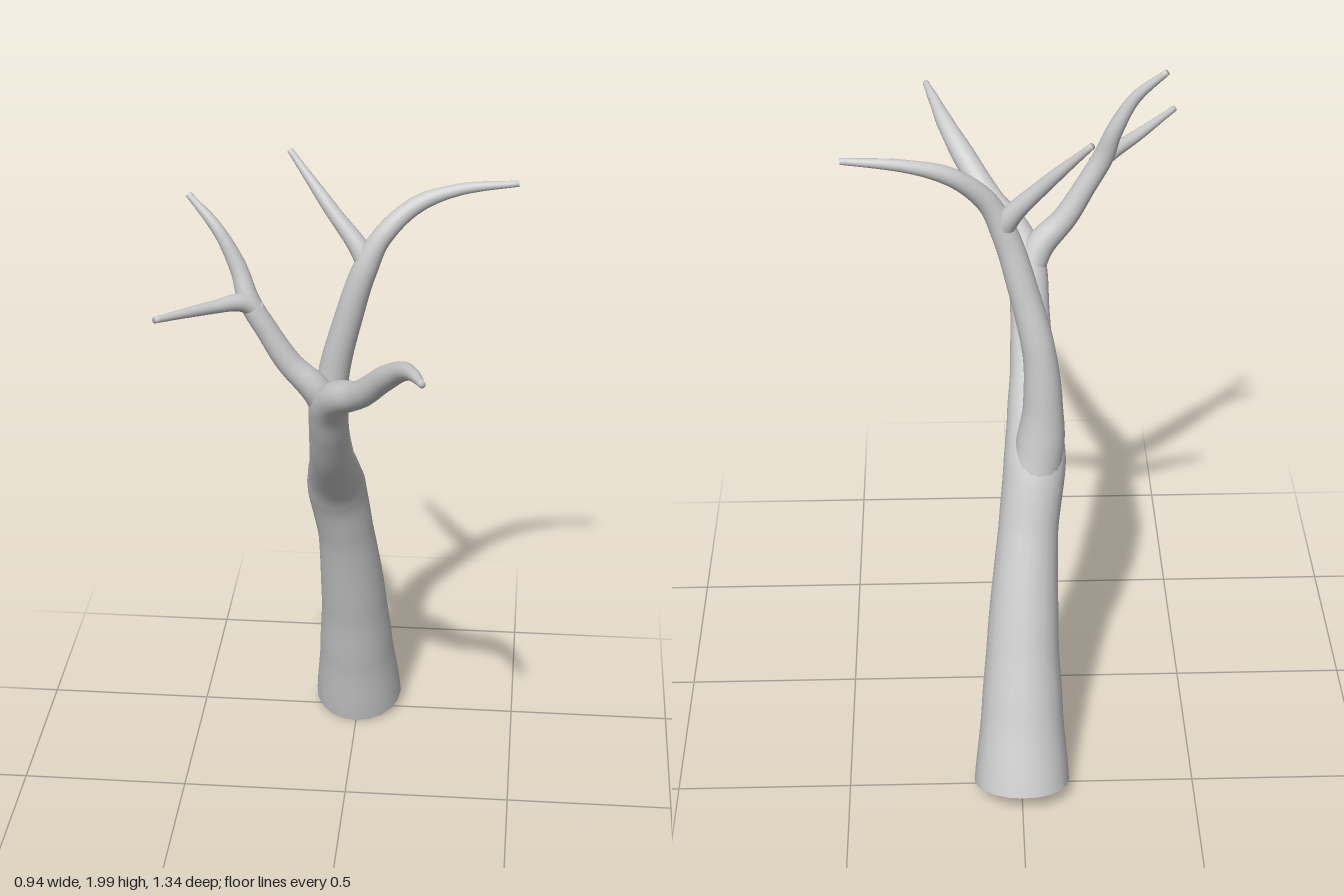
import * as THREE from 'three';

const SIDES = 20;

// Tapered limb swept along a smooth curve; each point is [x, y, z, radius]
function limb(name, points, material, capped = true) {
  const curve = new THREE.CatmullRomCurve3(points.map(([x, y, z]) => new THREE.Vector3(x, y, z)));
  const steps = (points.length - 1) * 8;
  const { normals, binormals } = curve.computeFrenetFrames(steps);
  const positions = [], index = [];
  for (let i = 0; i <= steps; i++) {
    const u = i / steps;
    const center = curve.getPointAt(u);
    const k = curve.getUtoTmapping(u) * (points.length - 1);
    const a = Math.min(Math.floor(k), points.length - 2);
    const radius = THREE.MathUtils.lerp(points[a][3], points[a + 1][3], THREE.MathUtils.smoothstep(k - a, 0, 1) * 0.4 + (k - a) * 0.6);
    for (let j = 0; j < SIDES; j++) {
      const angle = (j / SIDES) * Math.PI * 2;
      const p = center.clone()
        .addScaledVector(normals[i], Math.cos(angle) * radius)
        .addScaledVector(binormals[i], Math.sin(angle) * radius);
      positions.push(p.x, p.y, p.z);
      if (i < steps) {
        const b = i * SIDES + j, c = i * SIDES + (j + 1) % SIDES;
        index.push(b, c, b + SIDES, c, c + SIDES, b + SIDES);
      }
    }
  }
  // Close the tip
  if (capped) {
    const tip = curve.getPointAt(1), last = steps * SIDES;
    positions.push(tip.x, tip.y, tip.z);
    for (let j = 0; j < SIDES; j++) index.push(last + j, last + (j + 1) % SIDES, last + SIDES);
  }
  const geometry = new THREE.BufferGeometry();
  geometry.setAttribute('position', new THREE.Float32BufferAttribute(positions, 3));
  geometry.setIndex(index);
  geometry.computeVertexNormals();
  const mesh = new THREE.Mesh(geometry, material);
  mesh.name = name;
  return mesh;
}

export function createModel() {
  const group = new THREE.Group();
  group.name = 'bareTree';
  const bark = new THREE.MeshStandardMaterial({ color: 0xcccccc, side: THREE.DoubleSide });

  // Leaning trunk, open at the foot, running on into the front bough and its forward branch
  group.add(limb('trunkAndFrontBranch', [
    [0.0, 0.055, -0.535, 0.137],
    [-0.003, 0.27, -0.468, 0.117],
    [-0.007, 0.48, -0.402, 0.102],
    [-0.025, 0.78, -0.3, 0.085],
    [-0.045, 0.96, -0.228, 0.088],
    [-0.045, 1.06, -0.14, 0.076],
    [-0.043, 1.155, -0.035, 0.062],
    [-0.04, 1.285, 0.065, 0.056],
    [-0.032, 1.4, 0.137, 0.056],
    [0.0, 1.46, 0.21, 0.048],
    [0.065, 1.515, 0.3, 0.038],
    [0.14, 1.61, 0.395, 0.034],
    [0.19, 1.67, 0.48, 0.026],
    [0.222, 1.703, 0.57, 0.017],
    [0.25, 1.722, 0.668, 0.009],
  ], bark));

  // Side branch off the front bough, with its twig
  group.add(limb('frontSideBranch', [
    [-0.03, 1.36, 0.11, 0.045],
    [-0.07, 1.45, 0.138, 0.042],
    [-0.14, 1.53, 0.148, 0.035],
    [-0.2, 1.63, 0.155, 0.031],
    [-0.247, 1.715, 0.157, 0.03],
    [-0.275, 1.8, 0.142, 0.024],
    [-0.33, 1.905, 0.13, 0.017],
    [-0.412, 1.993, 0.1, 0.009],
  ], bark));
  group.add(limb('frontSideTwig', [
    [-0.225, 1.69, 0.155, 0.026],
    [-0.265, 1.717, 0.178, 0.025],
    [-0.33, 1.728, 0.24, 0.018],
    [-0.465, 1.752, 0.395, 0.009],
  ], bark));

  // Rear bough rising from the trunk fork into its long outer branch
  group.add(limb('rearBranch', [
    [-0.038, 0.9, -0.262, 0.07],
    [-0.06, 1.04, -0.245, 0.068],
    [-0.066, 1.16, -0.246, 0.055],
    [-0.055, 1.32, -0.244, 0.046],
    [-0.01, 1.51, -0.22, 0.041],
    [0.035, 1.66, -0.205, 0.037],
    [0.085, 1.765, -0.21, 0.03],
    [0.18, 1.853, -0.24, 0.025],
    [0.3, 1.895, -0.26, 0.017],
    [0.465, 1.915, -0.268, 0.009],
  ], bark));
  group.add(limb('rearTwig', [
    [0.045, 1.65, -0.203, 0.026],
    [0.03, 1.71, -0.215, 0.03],
    [-0.06, 1.825, -0.252, 0.021],
    [-0.185, 1.975, -0.322, 0.009],
  ], bark));

  return group;
}
